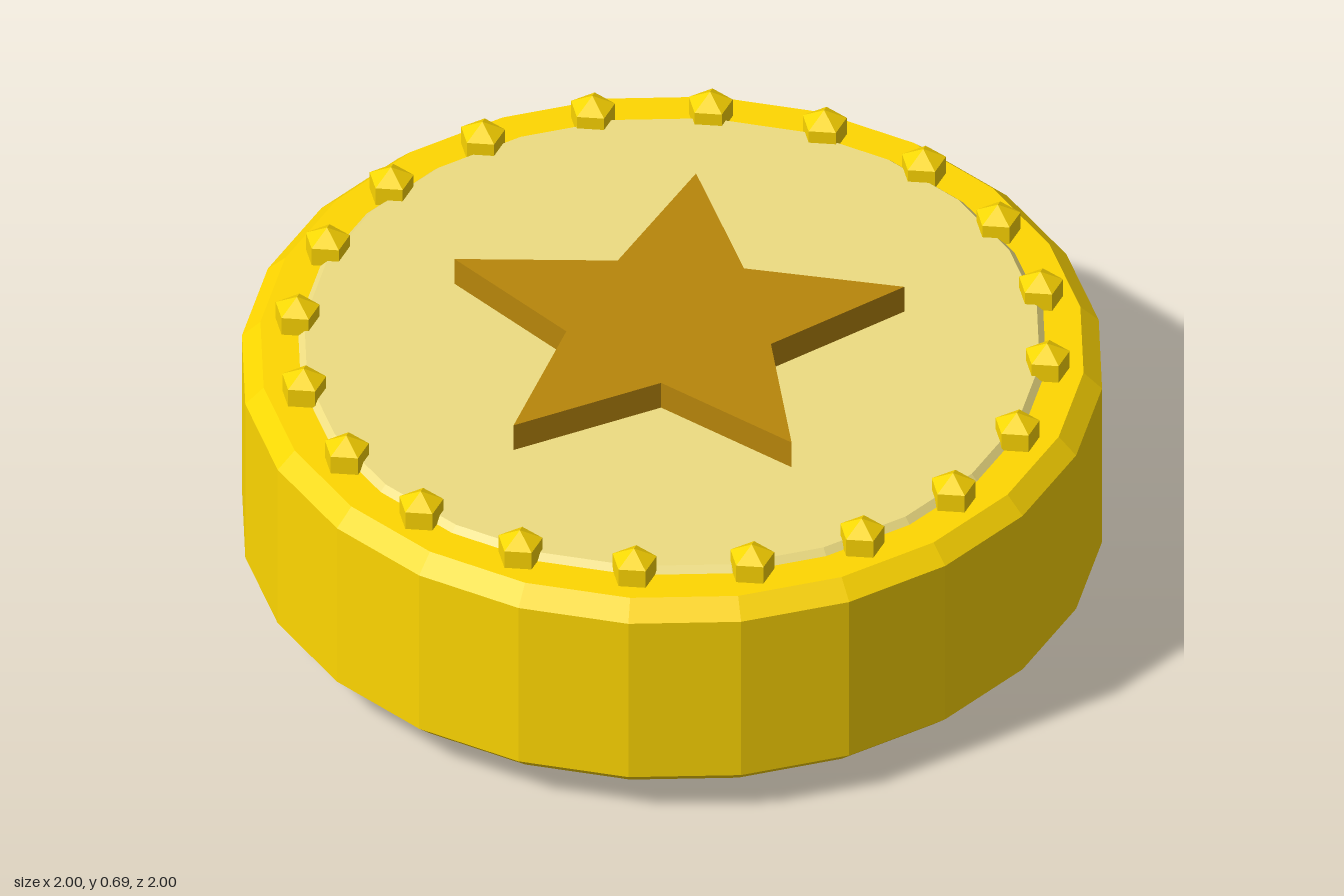
import * as THREE from 'three';

const material = (color) => new THREE.MeshStandardMaterial({ color, flatShading: true });

// Solid of revolution with flat facets, from [radius, height] pairs, bottom to top
function turned(points, sides) {
  const profile = points.map(([r, y]) => new THREE.Vector2(r, y));
  return new THREE.LatheGeometry(profile, sides).toNonIndexed();
}

function starGeometry(outer, inner, height) {
  const points = [];
  for (let i = 0; i < 10; i++) {
    const r = i % 2 ? inner : outer;
    const a = Math.PI / 2 + (i * Math.PI) / 5;
    points.push(new THREE.Vector2(r * Math.cos(a), r * Math.sin(a)));
  }
  const geometry = new THREE.ExtrudeGeometry(new THREE.Shape(points), { depth: height, bevelEnabled: false });
  return geometry.rotateX(-Math.PI / 2); // first point towards the back
}

export function createModel() {
  const group = new THREE.Group();
  const gold = material(0xffd700);
  const pale = material(0xeedd82);
  const bronze = material(0xb8860b);

  const add = (name, geometry, mat, y = 0, parent = group) => {
    const mesh = new THREE.Mesh(geometry, mat);
    mesh.name = name;
    mesh.position.y = y;
    parent.add(mesh);
    return mesh;
  };

  // Thick chamfered body
  add('body', turned([[0, 0.075], [0.957, 0.075], [1, 0.115], [1, 0.562], [0.957, 0.605], [0, 0.605]], 24), gold);

  // Pale core showing as a raised face above and below
  add('faceDisc', turned([[0, 0.055], [0.855, 0.055], [0.88, 0.08], [0.88, 0.595], [0.855, 0.62], [0, 0.62]], 24), pale);

  // Raised star on top
  add('star', starGeometry(0.55, 0.25, 0.09), bronze, 0.602);

  // Round boss underneath
  add('bottomBoss', new THREE.CylinderGeometry(0.367, 0.367, 0.07, 12), bronze, 0.035);

  // Ring of faceted beads along the rim
  const beads = new THREE.Group();
  beads.name = 'beads';
  group.add(beads);
  const beadGeometry = new THREE.SphereGeometry(0.062, 5, 3).rotateY(-Math.PI / 2);
  for (let i = 0; i < 20; i++) {
    const a = (i * Math.PI) / 10;
    const bead = add('bead', beadGeometry, gold, 0.622, beads);
    bead.position.x = 0.872 * Math.sin(a);
    bead.position.z = 0.872 * Math.cos(a);
  }
  return group;
}
